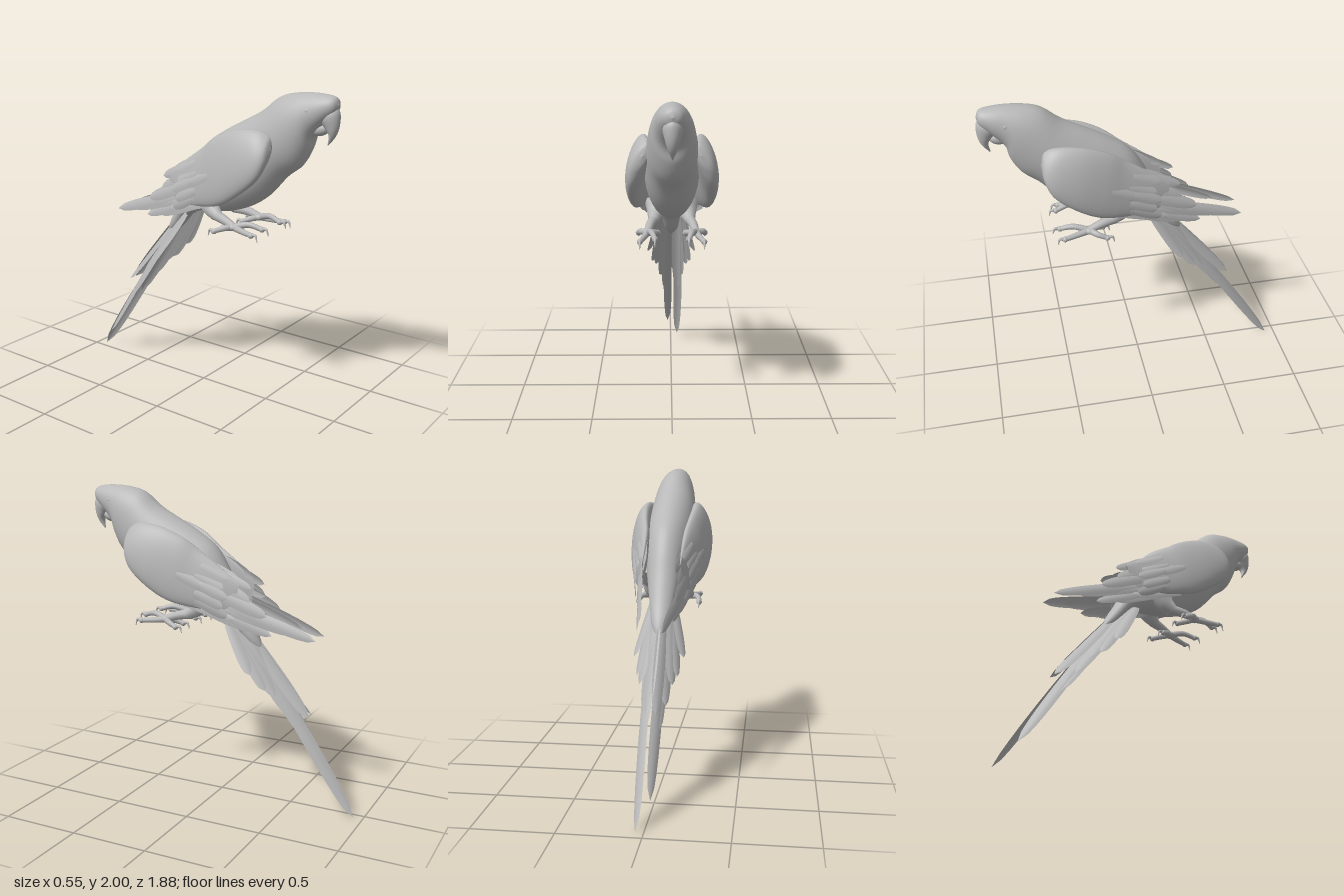
import * as THREE from 'three';

const V = (x, y, z) => new THREE.Vector3(x, y, z);
const grey = new THREE.MeshStandardMaterial({ color: 0xb8b8b8, side: THREE.DoubleSide });
grey.name = 'plumage grey';

function add(group, name, geometry) {
  const mesh = new THREE.Mesh(geometry, grey);
  mesh.name = name;
  group.add(mesh);
  return mesh;
}

function build(positions, index) {
  const g = new THREE.BufferGeometry();
  g.setAttribute('position', new THREE.Float32BufferAttribute(positions, 3));
  g.setIndex(index);
  g.computeVertexNormals();
  return g;
}

// Smooth skin over ellipses; each section is [topZ, topY, bottomZ, bottomY, halfWidth, centreX].
// lean moves the top edge inward and the bottom edge outward.
function loft(sections, side = 1, lean = 0, rows = 64, cols = 36) {
  const tops = new THREE.CatmullRomCurve3(sections.map(s => V(s[5] || 0, s[1], s[0])), false, 'catmullrom');
  const bottoms = new THREE.CatmullRomCurve3(sections.map(s => V(s[4], s[3], s[2])), false, 'catmullrom');
  const pos = [], idx = [];
  for (let i = 0; i <= rows; i++) {
    const t = tops.getPoint(i / rows), b = bottoms.getPoint(i / rows);
    const w = Math.max(0, b.x), shift = lean * Math.min(1, w / 0.05);
    for (let j = 0; j < cols; j++) {
      const a = j / cols * Math.PI * 2, c = (1 + Math.cos(a)) / 2;
      pos.push(side * (t.x + w * Math.sin(a) - shift * Math.cos(a)), b.y + (t.y - b.y) * c, b.z + (t.z - b.z) * c);
      if (i === rows) continue;
      const p = i * cols + j, q = i * cols + (j + 1) % cols;
      if (side > 0) idx.push(p, q, p + cols, q, q + cols, p + cols);
      else idx.push(p, p + cols, q, q, p + cols, q + cols);
    }
  }
  return build(pos, idx);
}

// Thin cambered blade from root to tip, facing along normal
function feather(root, tip, width, normal, sag = 0) {
  const dir = tip.clone().sub(root).normalize();
  const across = dir.clone().cross(normal).normalize();
  const up = across.clone().cross(dir).normalize();
  const pos = [], idx = [], rows = 16, cols = 4;
  for (let i = 0; i <= rows; i++) {
    const t = i / rows;
    const half = width / 2 * Math.sqrt(Math.max(0, 1 - t ** 5)) * (0.5 + 0.5 * Math.sqrt(t));
    for (let j = 0; j <= cols; j++) {
      const k = j / cols * 2 - 1;
      const p = root.clone().lerp(tip, t).addScaledVector(across, k * half)
        .addScaledVector(up, -0.2 * half * k * k + sag * Math.sin(Math.PI * t));
      pos.push(p.x, p.y, p.z);
      if (i === rows || j === cols) continue;
      const a = i * (cols + 1) + j, b = a + cols + 1;
      idx.push(a, b, a + 1, a + 1, b, b + 1);
    }
  }
  return build(pos, idx);
}

// Tube whose radius runs from r0 to r1
function taper(points, r0, r1) {
  const curve = new THREE.CatmullRomCurve3(points), rows = 16, cols = 10;
  const g = new THREE.TubeGeometry(curve, rows, 1, cols);
  const pos = g.attributes.position, p = V(0, 0, 0);
  for (let i = 0; i <= rows; i++) {
    const c = curve.getPointAt(i / rows), r = r0 + (r1 - r0) * i / rows;
    for (let j = 0; j <= cols; j++) {
      const n = i * (cols + 1) + j;
      p.fromBufferAttribute(pos, n).sub(c).multiplyScalar(r).add(c);
      pos.setXYZ(n, p.x, p.y, p.z);
    }
  }
  return g;
}

function ball(group, name, r, position, scale = [1, 1, 1]) {
  const m = add(group, name, new THREE.SphereGeometry(r, 20, 14));
  m.position.copy(position);
  m.scale.set(...scale);
  return m;
}

function makeWing(s) {
  const wing = new THREE.Group();
  wing.name = s > 0 ? 'leftWing' : 'rightWing';
  add(wing, 'wingShoulder', loft([
    [0.6, 1.68, 0.6, 1.68, 0, 0.165], [0.575, 1.75, 0.59, 1.59, 0.045, 0.175],
    [0.49, 1.78, 0.54, 1.49, 0.06, 0.195], [0.35, 1.765, 0.42, 1.39, 0.062, 0.202],
    [0.2, 1.705, 0.28, 1.31, 0.057, 0.188], [0.08, 1.62, 0.13, 1.275, 0.046, 0.164],
    [-0.05, 1.53, 0, 1.26, 0.03, 0.144], [-0.18, 1.43, -0.14, 1.24, 0.008, 0.125],
  ], s, 0.035));
  // Flight feathers: [rootX, rootY, rootZ, tipX, tipY, tipZ, width]
  [
    [0.165, 1.36, 0.1, 0.075, 1.11, -0.67, 0.09], [0.17, 1.33, 0.08, 0.085, 1.14, -0.52, 0.08],
    [0.175, 1.31, 0.1, 0.1, 1.12, -0.39, 0.08], [0.18, 1.3, 0.15, 0.12, 1.15, -0.27, 0.08],
    [0.17, 1.42, 0.08, 0.115, 1.24, -0.36, 0.1], [0.16, 1.47, 0.08, 0.12, 1.32, -0.25, 0.11],
    [0.135, 1.53, 0.08, 0.1, 1.4, -0.25, 0.08], [0.125, 1.56, 0.08, 0.1, 1.44, -0.17, 0.08],
    [0.19, 1.31, 0.2, 0.15, 1.21, -0.16, 0.08],
  ].forEach(f => add(wing, 'flightFeather',
    feather(V(s * f[0], f[1], f[2]), V(s * f[3], f[4], f[5]), f[6], V(s, 0.3, 0), 0.006)));
  // Overlapping coverts hugging the wing
  for (let row = 0; row < 2; row++) for (let i = 0; i < 5; i++) {
    const z = 0.2 - row * 0.14 + (i % 2) * 0.03;
    const y = 1.6 - i * 0.058 - row * 0.06;
    const x = 0.18 - row * 0.025 + 0.05 * Math.sin((i + 1) / 6.5 * Math.PI) + i * 0.005;
    add(wing, 'covertFeather', feather(V(s * x, y, z), V(s * (x - 0.038), y - 0.08, z - 0.18), 0.08, V(s, 0.55 - i * 0.15, -0.2)));
  }
  return wing;
}

function makeLeg(s) {
  const leg = new THREE.Group();
  leg.name = s > 0 ? 'leftLeg' : 'rightLeg';
  const at = (x, y, z) => V(s * x, y, z);
  add(leg, 'thigh', taper([at(0.09, 1.3, 0.1), at(0.1, 1.24, 0.14), at(0.115, 1.2, 0.2)], 0.08, 0.03));
  add(leg, 'shank', taper([at(0.105, 1.21, 0.16), at(0.13, 1.195, 0.25), at(0.145, 1.17, 0.33)], 0.035, 0.023));
  ball(leg, 'footPad', 0.03, at(0.145, 1.165, 0.33), [1.1, 0.8, 1.2]);
  // Toes, two forward and two back: [bendX, bendY, bendZ, endX, endY, endZ, clawDirection]
  [
    [0.12, 1.19, 0.43, 0.1, 1.17, 0.51, 1], [0.17, 1.155, 0.42, 0.19, 1.15, 0.49, 1],
    [0.19, 1.16, 0.29, 0.205, 1.135, 0.23, -1], [0.1, 1.15, 0.28, 0.085, 1.135, 0.24, -1],
  ].forEach(([bx, by, bz, ex, ey, ez, d]) => {
    add(leg, 'toe', taper([at(0.145, 1.165, 0.33), at(bx, by, bz), at(ex, ey, ez)], 0.022, 0.015));
    ball(leg, 'toeTip', 0.018, at(ex, ey, ez));
    add(leg, 'claw', taper([at(ex, ey, ez), at(ex, ey + 0.005, ez + d * 0.03), at(ex, ey - 0.035, ez + d * 0.045)], 0.013, 0.002));
  });
  return leg;
}

export function createModel() {
  const bird = new THREE.Group();
  bird.name = 'parrot';

  // Head, breast, back and rump in one skin
  add(bird, 'body', loft([
    [0.938, 1.94, 0.938, 1.94, 0], [0.918, 1.982, 0.92, 1.89, 0.048], [0.86, 1.996, 0.86, 1.83, 0.078],
    [0.77, 2.0, 0.79, 1.75, 0.1], [0.66, 1.99, 0.768, 1.665, 0.122], [0.56, 1.96, 0.71, 1.565, 0.138],
    [0.45, 1.875, 0.61, 1.485, 0.154], [0.32, 1.805, 0.49, 1.355, 0.163], [0.18, 1.73, 0.37, 1.275, 0.16],
    [0.05, 1.64, 0.22, 1.22, 0.143], [-0.04, 1.51, 0.1, 1.2, 0.118], [-0.11, 1.36, 0, 1.19, 0.098],
    [-0.19, 1.2, -0.09, 1.15, 0.075], [-0.26, 1.08, -0.19, 1.04, 0.05], [-0.3, 0.98, -0.3, 0.98, 0],
  ], 1, 0, 84));

  // Hooked upper beak and small lower one
  add(bird, 'upperBeak', loft([
    [0.86, 1.93, 0.925, 1.93, 0.03], [0.82, 1.86, 0.943, 1.89, 0.053], [0.85, 1.815, 0.942, 1.82, 0.042],
    [0.882, 1.77, 0.922, 1.762, 0.025], [0.875, 1.712, 0.88, 1.708, 0.003],
  ], 1, 0, 28));
  const lower = ball(bird, 'lowerBeak', 0.045, V(0, 1.795, 0.825), [0.85, 0.85, 1.25]);
  lower.rotation.x = -0.25;

  for (const s of [1, -1]) {
    ball(bird, 'eye', 0.014, V(s * 0.09, 1.905, 0.78), [0.6, 1, 1]);
    bird.add(makeWing(s), makeLeg(s));
  }

  // Tail: two long streamers and stepped side feathers
  const tail = new THREE.Group();
  tail.name = 'tail';
  add(tail, 'tailStreamer', feather(V(0.045, 1.12, -0.18), V(0.048, 0, -0.94), 0.095, V(0.7, 0.42, -0.57), 0.012));
  add(tail, 'tailStreamer', feather(V(-0.02, 1.12, -0.18), V(-0.022, 0.15, -0.825), 0.095, V(-0.7, 0.42, -0.57), 0.012));
  for (const s of [1, -1]) {
    // [rootX, tipX, tipY, tipZ, width]
    [
      [0.02, 0.03, 0.6, -0.62, 0.1], [0.035, 0.045, 0.5, -0.58, 0.09], [0.045, 0.07, 0.62, -0.5, 0.1],
      [0.06, 0.1, 0.73, -0.42, 0.1], [0.07, 0.125, 0.77, -0.36, 0.09], [0.08, 0.155, 0.87, -0.27, 0.085],
    ].forEach(([rx, tx, ty, tz, w], i) => add(tail, 'tailFeather',
      feather(V(s * rx, 1.17, -0.15 + i * 0.014), V(s * tx, ty, tz), w, V(s * (0.6 + i * 0.04), 0.45, -0.55))));
  }
  bird.add(tail);
  return bird;
}
